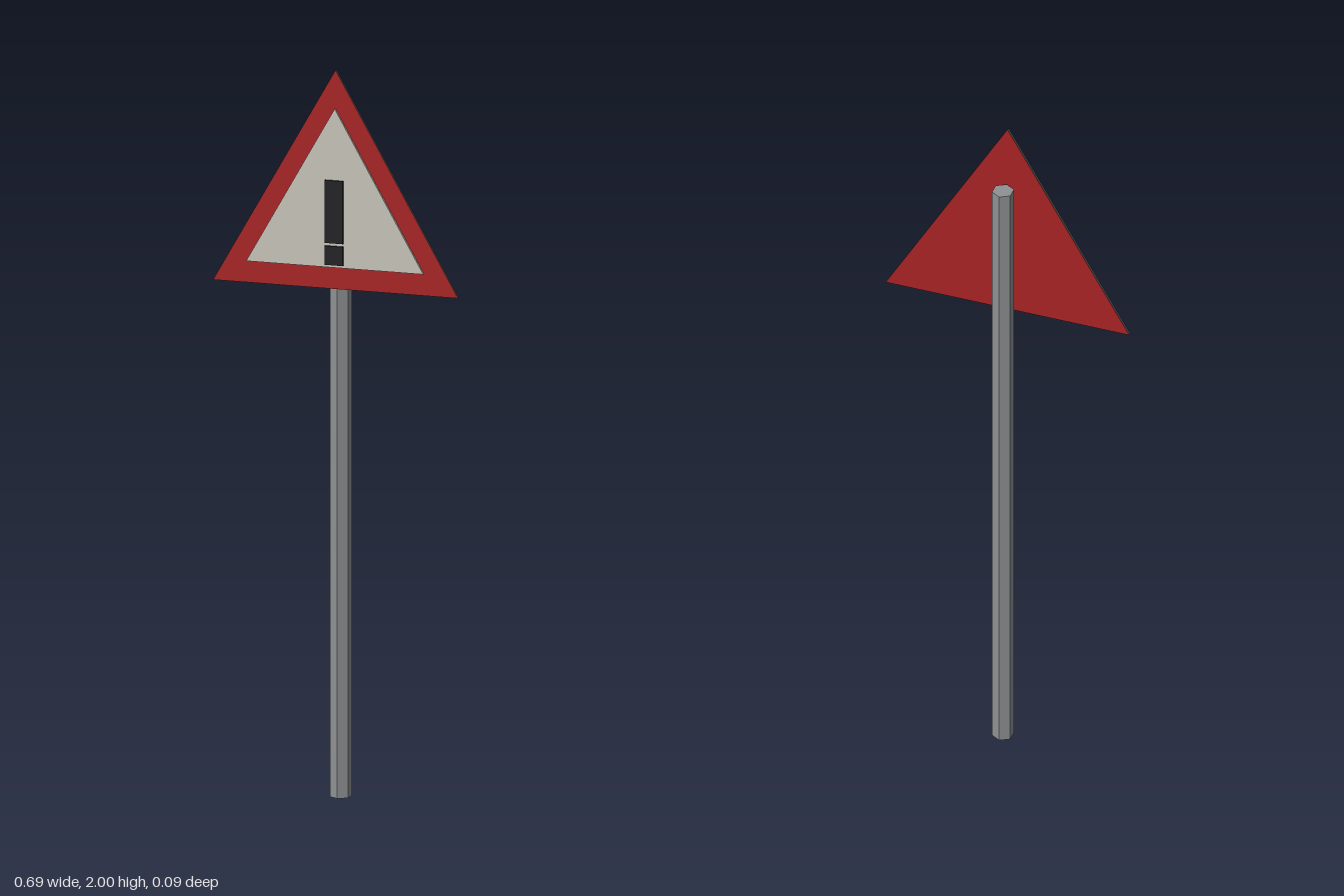
import * as THREE from 'three';

const material = (name, color) => {
  const m = new THREE.MeshStandardMaterial({ color });
  m.name = name;
  return m;
};

export function createModel() {
  const red = material('red', 0xa92325);
  const cream = material('off white', 0xc8c5ba);
  const black = material('black', 0x222225);
  const steel = material('steel grey', 0x8f9193);
  const edge = material('dark edge', 0x505053);

  const group = new THREE.Group();
  group.name = 'warningSign';
  const add = (name, geometry, mat, x, y, z) => {
    const mesh = new THREE.Mesh(geometry, mat);
    mesh.name = name;
    mesh.position.set(x, y, z);
    group.add(mesh);
  };

  // Upright triangle, extruded towards the front
  const triangle = (halfWidth, bottom, top, depth) => {
    const shape = new THREE.Shape([
      new THREE.Vector2(-halfWidth, bottom),
      new THREE.Vector2(halfWidth, bottom),
      new THREE.Vector2(0, top),
    ]);
    return new THREE.ExtrudeGeometry(shape, { depth, bevelEnabled: false });
  };

  // Hexagonal post, split into flat facets
  const post = new THREE.CylinderGeometry(0.03, 0.03, 1.82, 6).toNonIndexed();
  post.computeVertexNormals();
  add('post', post, steel, 0, 0.91, -0.015);

  // Red plate with dark rim, and the pale panel on its face
  add('signPlate', triangle(0.346, 1.4, 2, 0.009), [red, edge], 0, 0, 0.02);
  add('signPanel', triangle(0.25, 1.46, 1.895, 0.007), cream, 0, 0, 0.029);

  // Exclamation mark: bar and dot
  for (const [name, bottom, top] of [['markBar', 1.528, 1.7], ['markDot', 1.468, 1.52]]) {
    add(name, new THREE.BoxGeometry(0.052, top - bottom, 0.006), black, 0, (bottom + top) / 2, 0.042);
  }

  return group;
}
